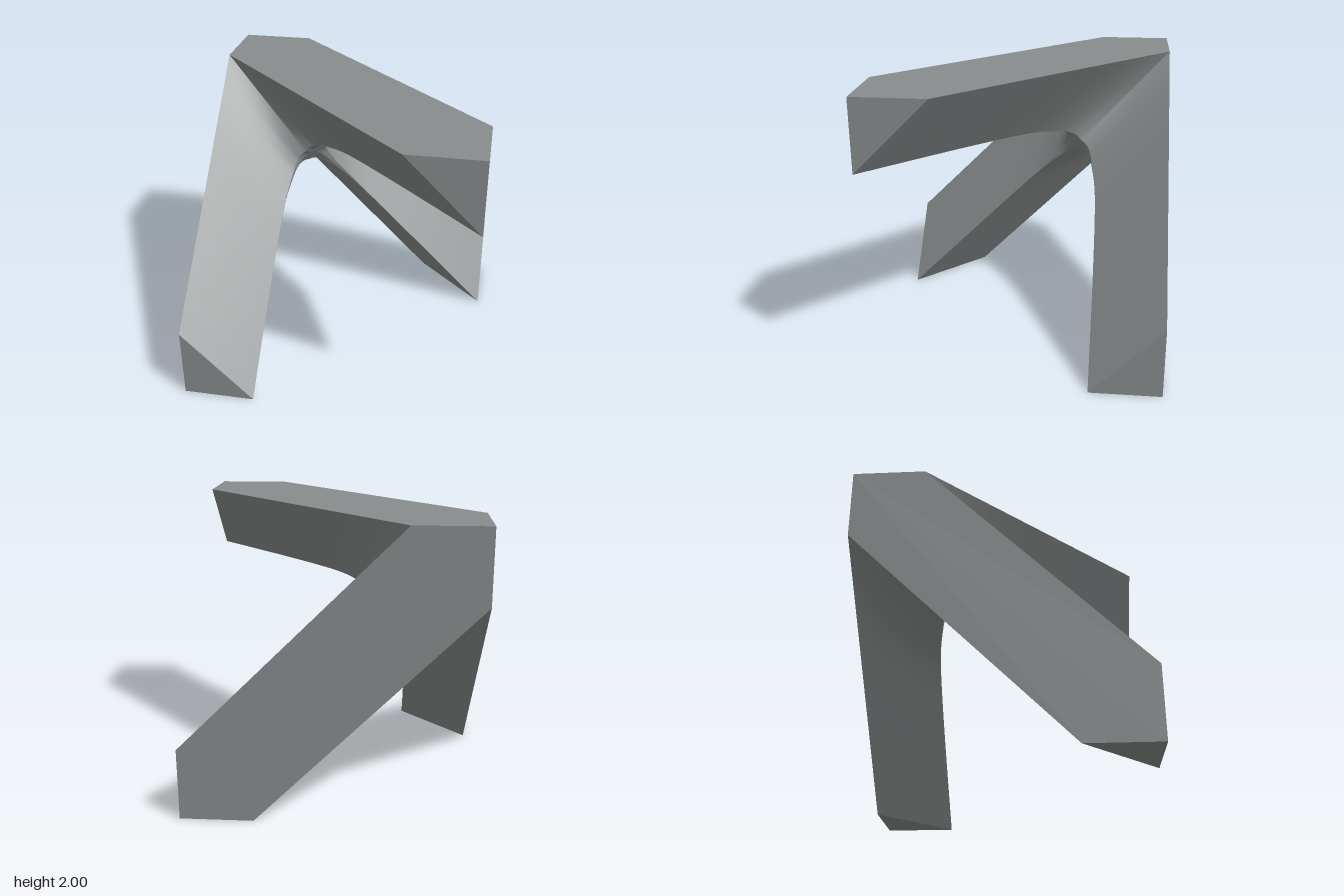
import * as THREE from 'three';
import { toCreasedNormals } from 'three/addons/utils/BufferGeometryUtils.js';

// Points are measured from the shared corner: u to +x, v downward, w to +z.
// One sixth of the body is described; rotation and mirroring give the rest.
const V = (u, v, w) => new THREE.Vector3(u, v, w);
const STEPS = 48;

// Inner edge of a leg, from the middle of the joint out to the leg's end
const EDGE = [
  V(0.63, 0.63, 0.75), V(0.66, 0.595, 0.753), V(0.71, 0.565, 0.77), V(0.81, 0.54, 0.835),
  V(1, 0.51, 1.004), V(1.4, 0.5, 1.4), V(2, 0.5, 2),
];
// Matching distances along the straight outer edge of the leg
const OUTER = [0, 0.07, 0.17, 0.3, 0.5, 0.9, 1.5].map((s) => V(s, 0, s + 0.5));
// Centre line of the joint, running into the leg's ridge
const CENTRE = [
  V(0.67, 0.67, 0.67), V(0.69, 0.63, 0.69), V(0.735, 0.58, 0.735), V(0.821, 0.543, 0.821),
  V(1.002, 0.51, 1.002), V(1.4, 0.5, 1.4), V(2, 0.5, 2),
];

function sample(points, from = 0) {
  const curve = new THREE.CatmullRomCurve3(points, false, 'catmullrom', 0.5);
  return Array.from({ length: STEPS + 1 }, (_, i) => curve.getPoint(from + (1 - from) * i / STEPS));
}

// Ruled strip of triangles between two rails
function ruled(railA, railB, rows) {
  const tris = [];
  const add = (a, b, c) => {
    const area = b.clone().sub(a).cross(c.clone().sub(a)).length();
    if (area > 1e-9) tris.push([a, b, c]);
  };
  for (let i = 0; i < railA.length - 1; i++) {
    for (let j = 0; j < rows; j++) {
      const p = (k, r) => railA[k].clone().lerp(railB[k], r / rows);
      const a = p(i, j), b = p(i + 1, j), c = p(i + 1, j + 1), d = p(i, j + 1);
      add(a, b, c);
      add(a, c, d);
    }
  }
  return tris;
}

// Repeat a piece over three legs and both halves of each leg
function sixfold(tris) {
  const out = [];
  for (let turn = 0; turn < 3; turn++) {
    for (const mirror of [false, true]) {
      for (const [a, b, c] of tris) {
        for (const p of mirror ? [a, b, c] : [a, c, b]) {
          let q = mirror ? [p.z, p.y, p.x] : [p.x, p.y, p.z];
          for (let k = 0; k < turn; k++) q = [q[1], q[2], q[0]];
          out.push(q[0] - 1, 2 - q[1], q[2] - 1);
        }
      }
    }
  }
  const geometry = new THREE.BufferGeometry();
  geometry.setAttribute('position', new THREE.Float32BufferAttribute(out, 3));
  return toCreasedNormals(geometry, 0.5);
}

export function createModel() {
  const group = new THREE.Group();
  const grey = new THREE.MeshStandardMaterial({ color: 0x888c8c });
  grey.name = 'grey';

  const add = (name, tris) => {
    const mesh = new THREE.Mesh(sixfold(tris), grey);
    mesh.name = name;
    group.add(mesh);
  };

  // Mirrored start keeps the inner edge smooth across the joint
  const mirrored = EDGE.slice(1).reverse().map((p) => V(p.y, p.x, p.z));
  const edge = sample([...mirrored, ...EDGE], 0.5);
  const outer = sample(OUTER);
  const centre = sample(CENTRE);

  // Flat outer panels of the three legs
  add('outerPanels', ruled([V(0, 0, 0), V(2, 0, 2)], [V(0, 0, 0.5), V(1.5, 0, 2)], 1));
  // Sloping leg sides, blending into each other near the joint
  add('legSides', ruled(outer, edge, 8));
  // Hollow three-pointed patch where the legs meet
  add('innerJoint', ruled(edge, centre, 6));
  // Triangular cuts at the leg ends
  add('legEnds', ruled([V(2, 0, 2), V(2, 0.5, 2)], [V(1.5, 0, 2), V(1.5, 0, 2)], 1));

  return group;
}
